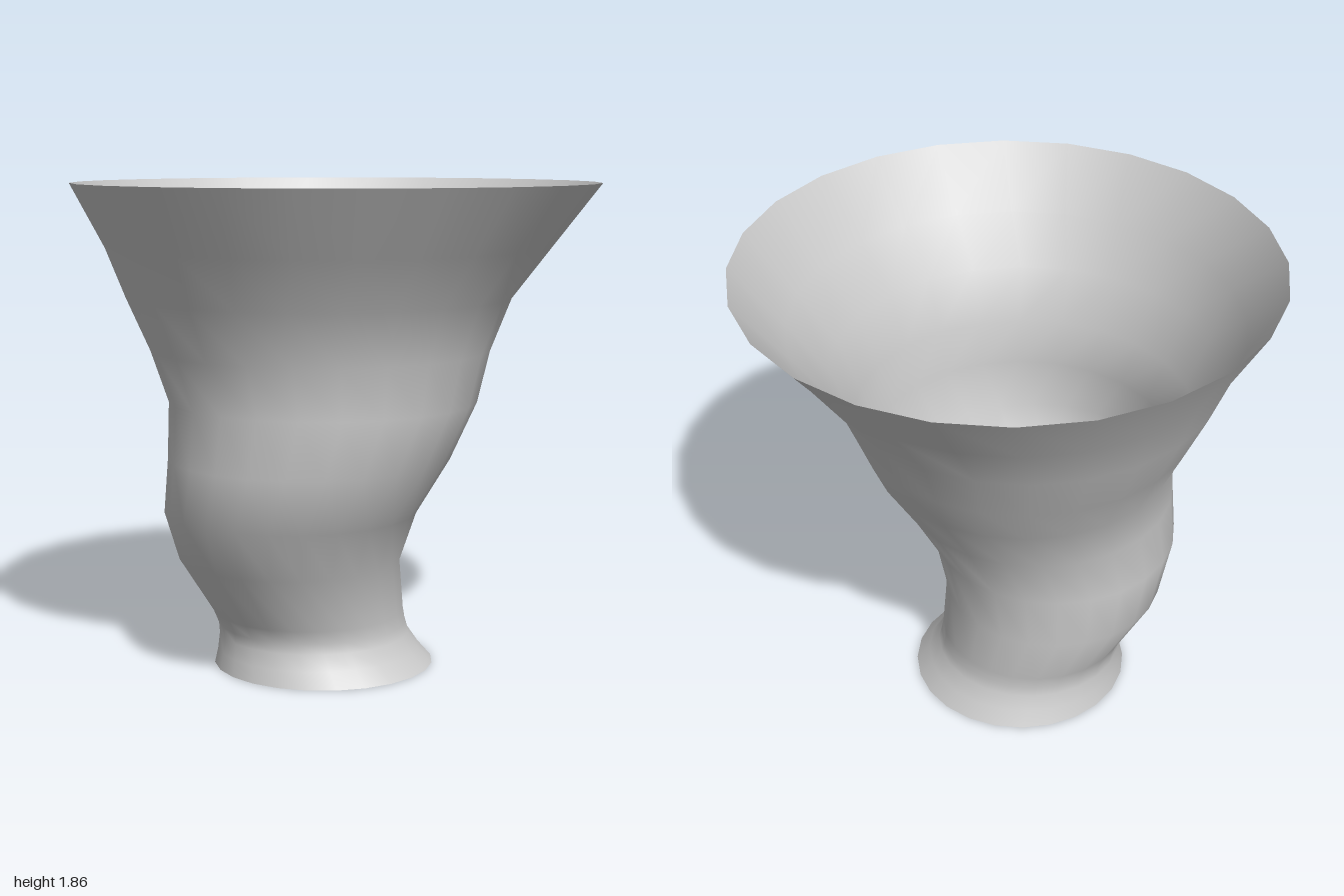
import * as THREE from 'three';

const SIDES = 24;

// Each ring of the vase wall: [height, centre x, centre z, radius]
const RINGS = [
  [0, -0.035, 0.035, 0.427],
  [0.06, -0.05, 0.048, 0.394],
  [0.12, -0.062, 0.06, 0.37],
  [0.16, -0.066, 0.066, 0.366],
  [0.21, -0.074, 0.078, 0.372],
  [0.42, -0.11, 0.145, 0.428],
  [0.62, -0.058, 0.193, 0.482],
  [0.83, 0.002, 0.153, 0.536],
  [1.04, 0.005, 0.078, 0.587],
  [1.23, -0.035, 0.05, 0.648],
  [1.43, -0.04, 0.052, 0.732],
  [1.62, -0.012, 0.03, 0.842],
  [1.86, 0, 0, 1],
];

// Lofts circles along the wandering centre line into one smooth open wall
function loft(rings) {
  const positions = [];
  const index = [];
  rings.forEach(([y, cx, cz, r], i) => {
    for (let j = 0; j < SIDES; j++) {
      const a = (j / SIDES) * Math.PI * 2 - 0.08;
      positions.push(cx + r * Math.cos(a), y, cz + r * Math.sin(a));
      if (i === 0) continue;
      const k = (j + 1) % SIDES;
      const low = (i - 1) * SIDES;
      const high = i * SIDES;
      index.push(low + j, high + j, high + k, low + j, high + k, low + k);
    }
  });
  const geometry = new THREE.BufferGeometry();
  geometry.setAttribute('position', new THREE.Float32BufferAttribute(positions, 3));
  geometry.setIndex(index);
  geometry.computeVertexNormals();
  return geometry;
}

export function createModel() {
  const group = new THREE.Group();
  group.name = 'vase';

  // Thin wall, open at the rim and the foot
  const material = new THREE.MeshStandardMaterial({ color: 0xcccccc, side: THREE.DoubleSide });
  const wall = new THREE.Mesh(loft(RINGS), material);
  wall.name = 'vaseWall';
  group.add(wall);

  return group;
}
